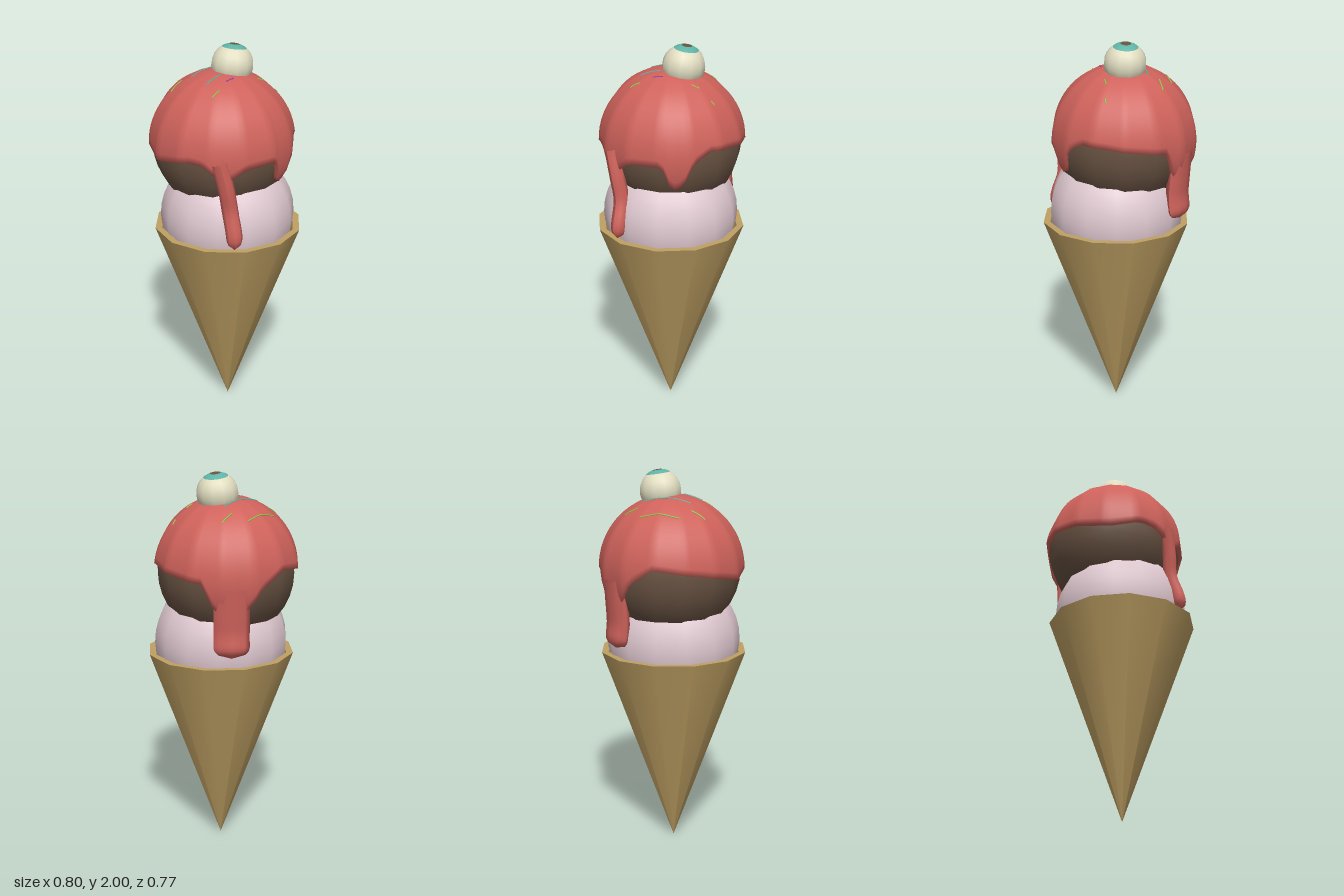
import * as THREE from 'three';

const mat = (name, color, side = THREE.FrontSide) => {
  const m = new THREE.MeshStandardMaterial({ color, side });
  m.name = name;
  return m;
};

// Sauce dome: a 14-sided cap around (CX, CY)
const CX = -0.027, CY = 1.5, RX = 0.375, RY = 0.38, SIDES = 14;

// Radius factor that turns a circle into a regular polygon
function polygon(theta) {
  const step = (Math.PI * 2) / SIDES;
  const local = ((theta % step) + step) % step - step / 2;
  return Math.cos(step / 2) / Math.cos(local);
}

// Height of the sauce's lower edge at [degrees, y]
const EDGE = [
  [0, 1.49], [25, 1.48], [38, 1.42], [50, 1.46], [58, 1.5], [70, 1.51], [101, 1.47],
  [137, 1.51], [180, 1.55], [200, 1.47], [212, 1.36], [225, 1.3], [238, 1.36], [248, 1.5],
  [298, 1.54], [318, 1.55], [333, 1.5], [340, 1.38], [347, 1.36], [352, 1.39], [357, 1.49], [360, 1.49],
];
function edgeHeight(deg) {
  const k = Math.max(1, EDGE.findIndex((e) => e[0] >= deg));
  const [a, ya] = EDGE[k - 1], [b, yb] = EDGE[k];
  return ya + ((yb - ya) * (deg - a)) / (b - a);
}

function sauceGeometry() {
  const cols = SIDES * 6, rows = 18, pos = [], idx = [];
  for (let j = 0; j <= rows + 1; j++) {
    for (let i = 0; i < cols; i++) {
      const theta = (i / cols) * Math.PI * 2;
      const end = Math.acos((edgeHeight((i / cols) * 360) - CY) / RY);
      const phi = end * Math.min(1, j / rows);
      // the last row turns inward to form the lip
      const r = RX * Math.sin(phi) * polygon(theta) * (j > rows ? 0.93 : 1);
      pos.push(CX + r * Math.cos(theta), CY + RY * Math.cos(phi), r * Math.sin(theta));
      if (j <= rows) {
        const n = (i + 1) % cols, a = j * cols + i, b = j * cols + n;
        idx.push(a, b, b + cols, a, b + cols, a + cols);
      }
    }
  }
  const g = new THREE.BufferGeometry();
  g.setAttribute('position', new THREE.Float32BufferAttribute(pos, 3));
  g.setIndex(idx);
  g.computeVertexNormals();
  return g;
}

// Tapered drip: path of [outward, height, sideways], turned to an angle about the dome axis
function dripGeometry(path, radius, flat, deg) {
  const curve = new THREE.CatmullRomCurve3(path.map((p) => new THREE.Vector3(p[0], p[1], p[2])));
  const len = 20, radial = 8;
  const g = new THREE.TubeGeometry(curve, len, 1, radial, false);
  const p = g.attributes.position, v = new THREE.Vector3();
  for (let i = 0; i <= len; i++) {
    const t = i / len, c = curve.getPointAt(t);
    const tip = t > 0.85 ? Math.sqrt(Math.max(0, 1 - ((t - 0.85) / 0.15) ** 2)) : 1;
    for (let k = 0; k <= radial; k++) {
      const n = i * (radial + 1) + k;
      v.fromBufferAttribute(p, n).sub(c).multiplyScalar(radius * tip);
      v.x *= flat;
      v.add(c);
      p.setXYZ(n, v.x, v.y, v.z);
    }
  }
  g.computeVertexNormals();
  g.rotateY((-deg * Math.PI) / 180);
  g.translate(CX, 0, 0);
  return g;
}

// Point on the sauce dome above (x, z)
function onDome(x, z) {
  const r = Math.hypot(x - CX, z) / polygon(Math.atan2(z, x - CX)) / RX;
  return new THREE.Vector3(x, CY + RY * Math.sqrt(Math.max(0, 1 - r * r)), z);
}

export function createModel() {
  const model = new THREE.Group();
  const waffle = mat('waffle', 0xbfa063, THREE.DoubleSide);
  const pink = mat('pink ice cream', 0xe0c9d1);
  const brown = mat('chocolate', 0x685242);
  const red = mat('red sauce', 0xcf625b, THREE.DoubleSide);
  const cream = mat('eye white', 0xe2dec2);
  const teal = mat('teal', 0x5fb3a5);
  const green = mat('green sprinkle', 0x9cc84a);
  const purple = mat('purple sprinkle', 0xa044b0);

  const add = (name, geometry, material, parent = model) => {
    const mesh = new THREE.Mesh(geometry, material);
    mesh.name = name;
    parent.add(mesh);
    return mesh;
  };

  // Cone: outer wall, rim and inner wall kept separate for a crisp rim
  const cone = new THREE.Group();
  cone.name = 'cone';
  cone.position.x = 0.015;
  model.add(cone);
  const wall = (name, ...pts) =>
    add(name, new THREE.LatheGeometry(pts.map((p) => new THREE.Vector2(...p)), 12), waffle, cone);
  wall('coneOuter', [0, 0], [0.385, 1.065]);
  wall('coneRim', [0.385, 1.065], [0.35, 1.065]);
  wall('coneInner', [0.35, 1.065], [0, 0.12]);

  // Scoops
  add('lowerScoop', new THREE.SphereGeometry(0.348, 14, 18), pink).position.set(0.012, 1.12, 0);
  add('upperScoop', new THREE.SphereGeometry(0.355, 14, 18), brown).position.set(CX, 1.5, 0);

  // Sauce and its long drips
  add('sauce', sauceGeometry(), red);
  add('frontDrip', dripGeometry(
    [[0.35, 1.52, 0.07], [0.35, 1.38, 0.035], [0.345, 1.26, 0.015], [0.38, 1.14, 0], [0.39, 1.07, 0]],
    0.041, 0.9, 34), red);
  add('backDrip', dripGeometry(
    [[0.33, 1.48, 0], [0.32, 1.34, 0], [0.315, 1.24, 0], [0.33, 1.12, 0]],
    0.09, 0.5, 224), red);

  // Sprinkles barely showing through the sauce: x, z, length, material
  const sprinkles = [
    [-0.25, 0, 0.2, green], [-0.175, -0.165, 0.07, green], [-0.175, 0.175, 0.07, green],
    [0.1, 0.16, 0.05, green], [0.1, -0.14, 0.04, green], [0.12, -0.23, 0.02, green],
    [-0.12, 0, 0.25, teal], [0.02, 0.1, 0.1, teal], [0.08, 0.05, 0.05, purple],
  ];
  for (const [x, z, length, material] of sprinkles) {
    const pts = [-0.5, -0.25, 0, 0.25, 0.5].map((t) => onDome(x, z + t * length));
    add('sprinkle', new THREE.TubeGeometry(new THREE.CatmullRomCurve3(pts), 8, 0.004, 5), material);
  }

  // Eyeball topper looking up, tilted slightly back
  const eye = new THREE.Group();
  eye.name = 'eyeball';
  eye.position.set(-0.018, 1.893, -0.06);
  eye.rotation.x = -0.15;
  model.add(eye);
  const band = (name, from, to, material) =>
    add(name, new THREE.SphereGeometry(0.108, 12, 10, 0, Math.PI * 2, from, to - from), material, eye);
  band('pupil', 0, 0.25, brown);
  band('iris', 0.25, 0.63, teal);
  band('eyeWhite', 0.63, Math.PI, cream);

  return model;
}
